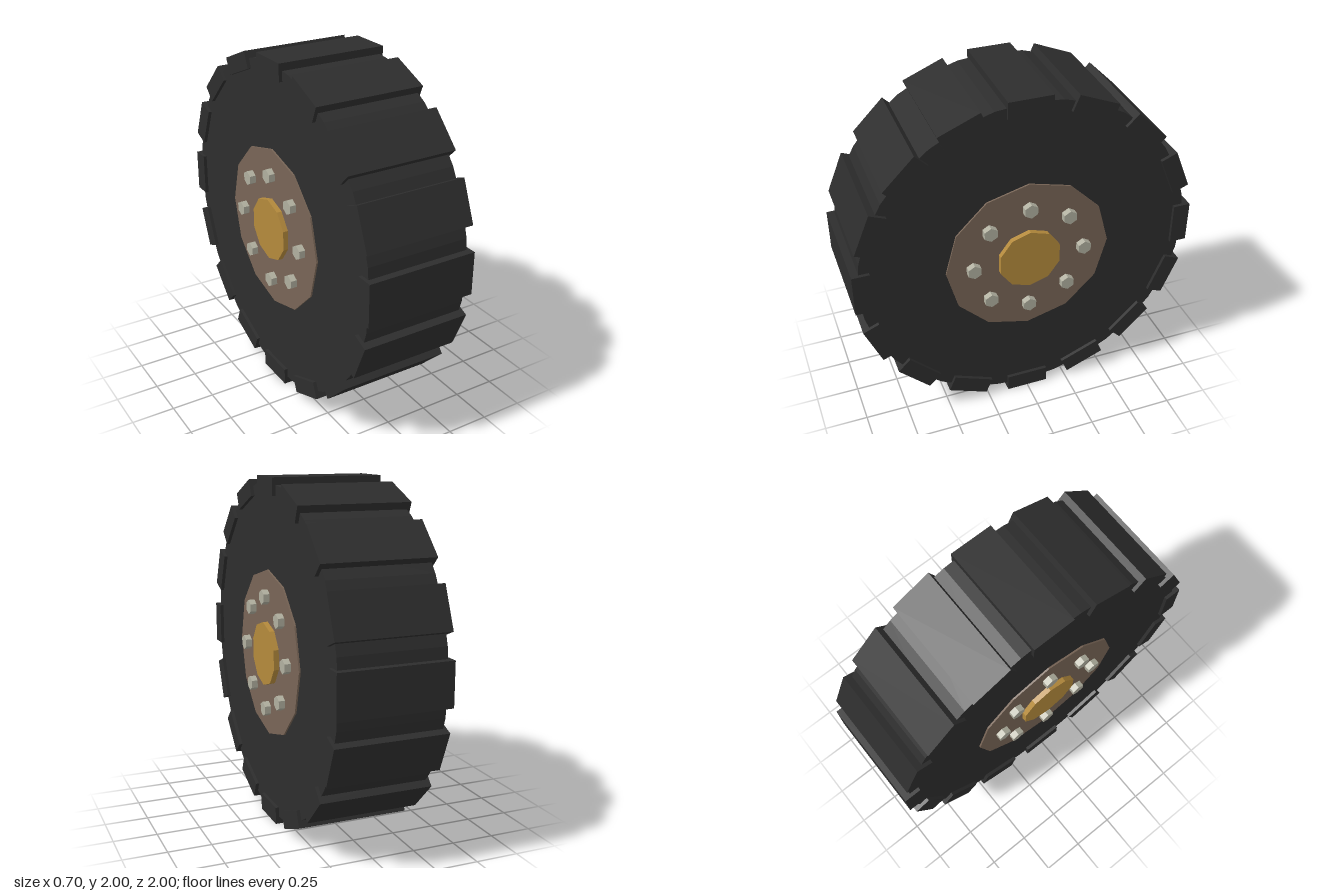
import * as THREE from 'three';

const mat = (name, color) => {
  const m = new THREE.MeshStandardMaterial({ color });
  m.name = name;
  m.flatShading = true;
  return m;
};

export function createModel() {
  const rubber = mat('dark rubber', 0x2d2d2d);
  const brown = mat('brown rim', 0x786556);
  const gold = mat('gold cap', 0xb48a3c);
  const steel = mat('pale steel', 0xb0af9f);

  const group = new THREE.Group();
  group.name = 'wheel';
  const axle = new THREE.Group();
  axle.name = 'wheelBody';
  axle.position.y = 1;
  group.add(axle);

  // Prism along x between two x positions, with one corner pointing up
  const disc = (name, radius, sides, x0, x1, material, y = 0, z = 0) => {
    const geo = new THREE.CylinderGeometry(radius, radius, x1 - x0, sides);
    geo.rotateY(Math.PI / 2);
    geo.rotateZ(Math.PI / 2);
    // corner direction is now +y or -y; even side counts keep it symmetric
    const mesh = new THREE.Mesh(geo, material);
    mesh.name = name;
    mesh.position.set((x0 + x1) / 2, y, z);
    axle.add(mesh);
    return mesh;
  };

  // Tyre
  disc('tyre', 0.97, 32, -0.305, 0.305, rubber);

  // Tread blocks around the tyre
  const blockGeo = new THREE.BoxGeometry(0.65, 0.1, 0.25);
  for (let i = 0; i < 16; i++) {
    const a = (i / 16) * Math.PI * 2;
    const block = new THREE.Mesh(blockGeo, rubber);
    block.name = 'treadBlock';
    block.position.set(0, Math.cos(a) * 0.95, Math.sin(a) * 0.95);
    block.rotation.x = a;
    axle.add(block);
  }

  // Rim plate, hub cap and bolts on both sides
  for (const s of [-1, 1]) {
    const span = (a, b) => (s > 0 ? [a, b] : [-b, -a]);
    disc('rimPlate', 0.483, 12, ...span(0.28, 0.315), brown);
    disc('hubCap', 0.185, 10, ...span(0.3, 0.345), gold);
    for (let i = 0; i < 8; i++) {
      const a = (i / 8) * Math.PI * 2;
      disc('bolt', 0.043, 6, ...span(0.3, 0.352), steel, Math.cos(a) * 0.328, Math.sin(a) * 0.328);
    }
  }
  return group;
}
